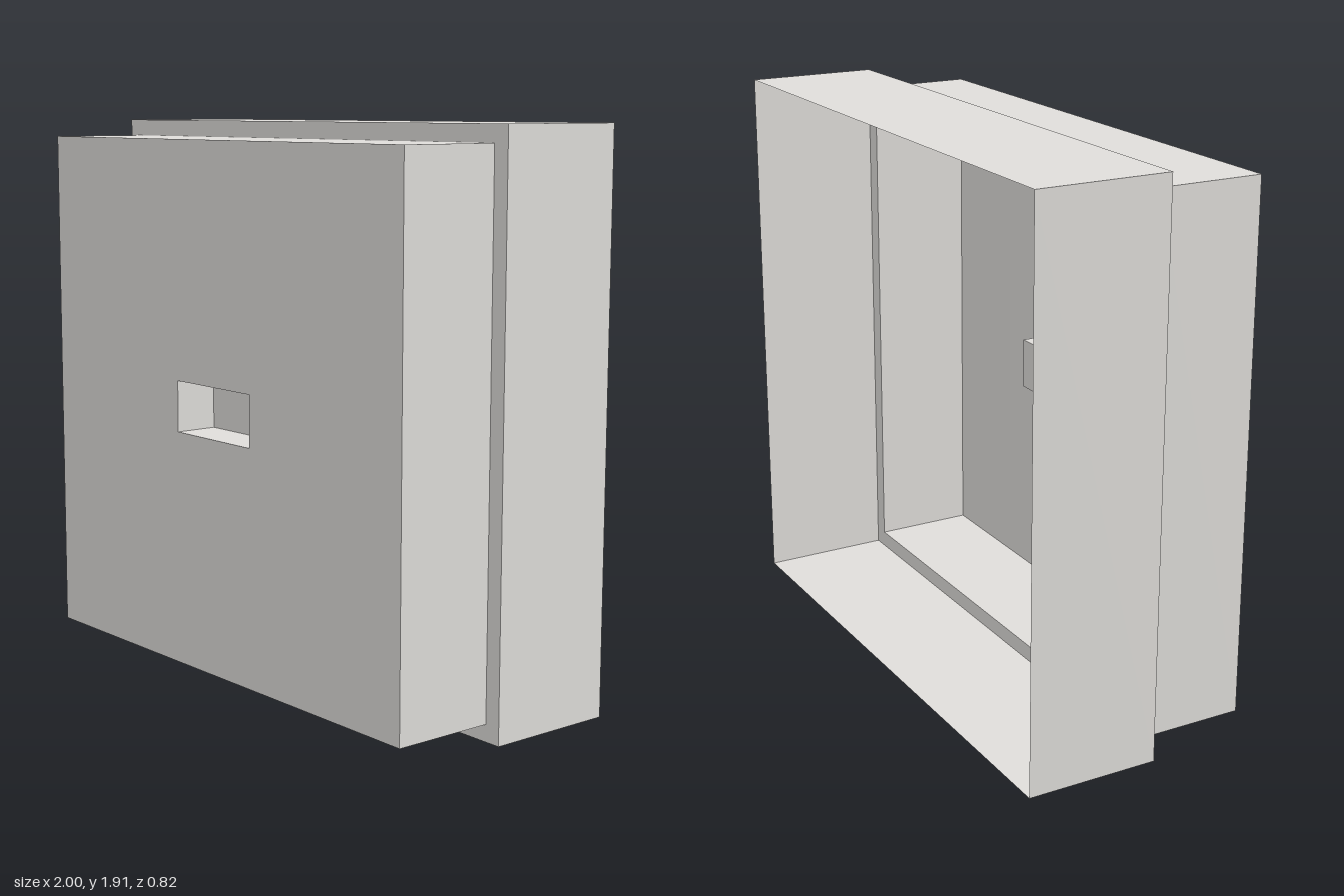
import * as THREE from 'three';

const MID_Y = 0.9575;

// Rectangular cross-sections from the open back to the pocket floor: half width, half height, z
const section = (hw, hh, z) => ({ hw, hh, z });
const backEdge = section(1, 0.9575, -0.41);
const stepOuter = section(1, 0.9575, 0.05);
const stepInner = section(0.943, 0.9, 0.05);
const frontEdge = section(0.943, 0.9, 0.41);
const pocketMouth = section(0.2, 0.088, 0.41);
const pocketBack = section(0.2, 0.088, 0.26);

const corners = ({ hw, hh, z }) =>
  [[-hw, -hh, z], [hw, -hh, z], [hw, hh, z], [-hw, hh, z]];

// Four flat quads joining one rectangle to the next
function band(a, b) {
  const p = corners(a), q = corners(b), pos = [];
  for (let i = 0; i < 4; i++) {
    const j = (i + 1) % 4;
    pos.push(...p[i], ...p[j], ...q[j], ...p[i], ...q[j], ...q[i]);
  }
  const geometry = new THREE.BufferGeometry();
  geometry.setAttribute('position', new THREE.Float32BufferAttribute(pos, 3));
  geometry.computeVertexNormals();
  return geometry;
}

export function createModel() {
  const group = new THREE.Group();
  group.name = 'steppedCover';
  const grey = new THREE.MeshStandardMaterial({ color: 0xdfddda, side: THREE.DoubleSide });
  grey.name = 'lightWarmGrey';

  const add = (name, geometry, z = 0) => {
    const mesh = new THREE.Mesh(geometry, grey);
    mesh.name = name;
    mesh.position.set(0, MID_Y, z);
    group.add(mesh);
  };

  // Thin open-backed shell
  add('rearWalls', band(backEdge, stepOuter));
  add('stepLedge', band(stepOuter, stepInner));
  add('frontWalls', band(stepInner, frontEdge));
  add('frontPanel', band(frontEdge, pocketMouth));

  // Recessed handle pocket
  add('pocketWalls', band(pocketMouth, pocketBack));
  add('pocketFloor', new THREE.PlaneGeometry(pocketBack.hw * 2, pocketBack.hh * 2), pocketBack.z);

  return group;
}
